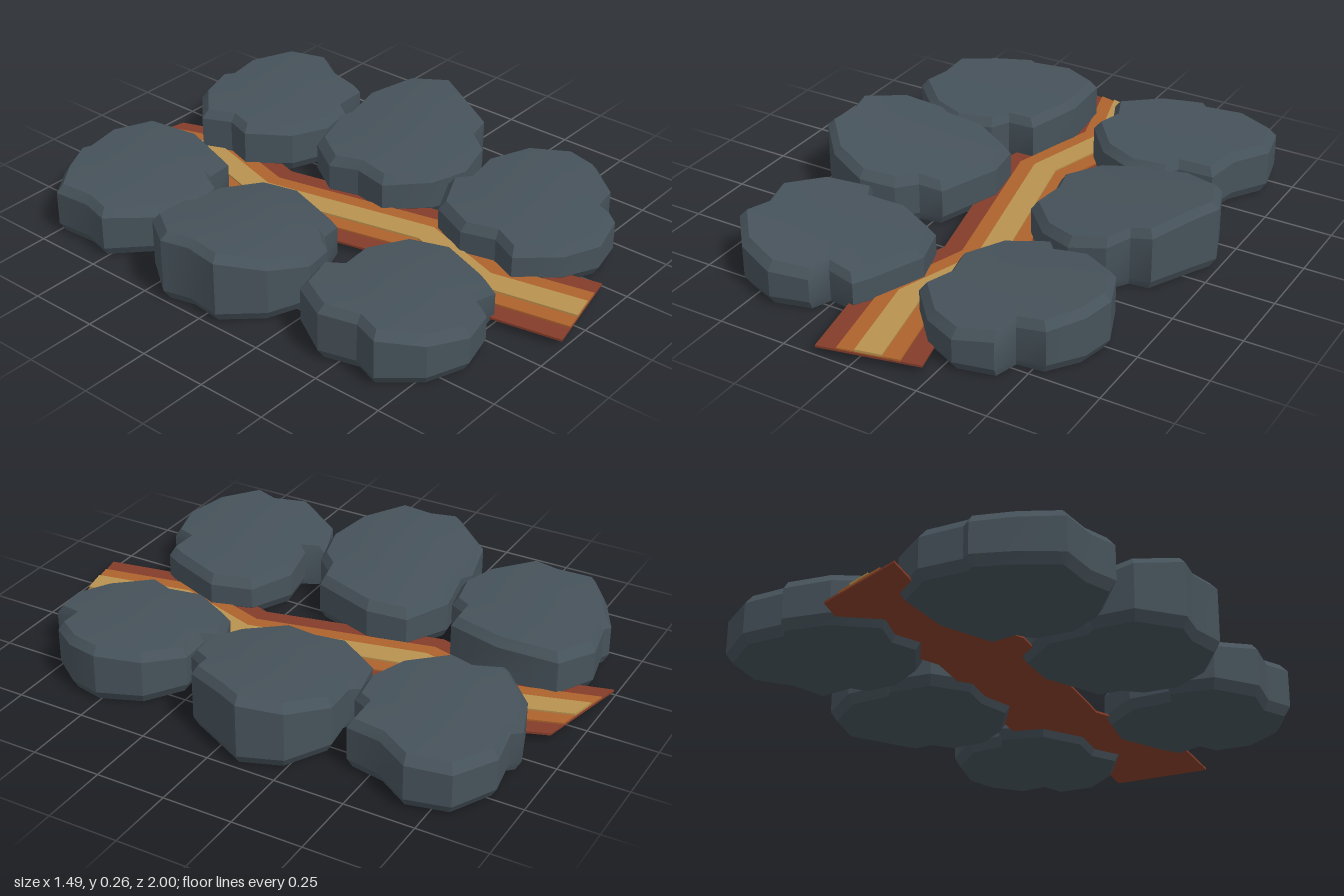
import * as THREE from 'three';
import { toCreasedNormals } from 'three/addons/utils/BufferGeometryUtils.js';

const stoneMat = new THREE.MeshStandardMaterial({ color: 0x46525a });

// Slab: stacked rings of one outline, chamfered at top and bottom, with a tilted, domed top.
// outline: x, z pairs clockwise from above; height: top height at mid-slab; tilt: rise per unit away from the path.
function stone(name, outline, height, tilt, dome) {
  const n = outline.length;
  const xs = outline.map(p => p[0]), zs = outline.map(p => p[1]);
  const cx = (Math.min(...xs) + Math.max(...xs)) / 2;
  const cz = (Math.min(...zs) + Math.max(...zs)) / 2;
  const topY = (x, z) => height + tilt * (Math.abs(x) - Math.abs(cx)) - dome * ((z - cz) / 0.28) ** 2;
  const rings = [
    [0.93, () => 0],
    [1, () => 0.035],
    [1, (x, z) => topY(x, z) - 0.03],
    [0.92, topY],
    [0.5, topY],
  ];
  const pos = [], idx = [];
  for (const [s, y] of rings) {
    for (const [px, pz] of outline) {
      const x = cx + (px - cx) * s, z = cz + (pz - cz) * s;
      pos.push(x, y(x, z), z);
    }
  }
  const bottom = n * rings.length, top = bottom + 1;
  pos.push(cx, 0, cz, cx, topY(cx, cz), cz);
  for (let i = 0; i < n; i++) {
    const j = (i + 1) % n;
    for (let r = 0; r < rings.length - 1; r++) {
      const a = r * n, b = a + n;
      idx.push(a + j, a + i, b + i, a + j, b + i, b + j);
    }
    const last = n * (rings.length - 1);
    idx.push(bottom, i, j, top, last + j, last + i);
  }
  const geo = new THREE.BufferGeometry();
  geo.setAttribute('position', new THREE.Float32BufferAttribute(pos, 3));
  geo.setIndex(idx);
  const mesh = new THREE.Mesh(toCreasedNormals(geo, 0.42), stoneMat);
  mesh.name = name;
  return mesh;
}

// Centre line of the zigzag path, x and z at each bend
const bends = [[-0.055, -0.96], [0.03, -0.685], [-0.065, -0.355], [0.08, 0.29], [-0.025, 0.61], [0.045, 0.957]];

// Thin zigzag layer of the path with slanted ends
function pathLayer(name, half, y, color) {
  const side = s => bends.map(([x, z], i) => {
    const slant = i === 0 ? 0.23 : i === bends.length - 1 ? -0.22 : 0;
    return new THREE.Vector2(x + s * half, -(z + s * half * slant));
  });
  const shape = new THREE.Shape([...side(-1), ...side(1).reverse()]);
  const geo = new THREE.ExtrudeGeometry(shape, { depth: 0.008, bevelEnabled: false });
  geo.rotateX(-Math.PI / 2);
  const mesh = new THREE.Mesh(geo, new THREE.MeshStandardMaterial({ color }));
  mesh.position.y = y;
  mesh.name = name;
  return mesh;
}

export function createModel() {
  const model = new THREE.Group();
  model.name = 'steppingStones';

  // Stones on the model's right (-x), back to front
  model.add(stone('backRightStone', [
    [-0.68, -0.74], [-0.56, -0.83], [-0.43, -0.9], [-0.4, -0.885], [-0.25, -0.915], [-0.11, -0.84], [-0.09, -0.625],
    [-0.155, -0.42], [-0.255, -0.415], [-0.295, -0.355], [-0.435, -0.325], [-0.56, -0.37], [-0.695, -0.5], [-0.67, -0.6],
  ], 0.19, 0, 0.015));
  model.add(stone('middleRightStone', [
    [-0.745, -0.165], [-0.64, -0.31], [-0.49, -0.34], [-0.45, -0.315], [-0.305, -0.335], [-0.15, -0.25], [-0.125, -0.105],
    [-0.205, 0.13], [-0.29, 0.145], [-0.35, 0.21], [-0.475, 0.24], [-0.62, 0.185], [-0.735, 0.06], [-0.72, -0.065],
  ], 0.215, 0.16, 0.025));
  model.add(stone('frontRightStone', [
    [-0.67, 0.44], [-0.58, 0.29], [-0.425, 0.235], [-0.39, 0.3], [-0.245, 0.275], [-0.09, 0.35], [-0.045, 0.495], [-0.12, 0.69],
    [-0.155, 0.75], [-0.255, 0.735], [-0.285, 0.81], [-0.42, 0.845], [-0.565, 0.79], [-0.67, 0.665], [-0.635, 0.57],
  ], 0.175, 0.1, 0.018));

  // Stones on the model's left (+x), back to front
  model.add(stone('backLeftStone', [
    [0.03, -0.725], [0.16, -0.85], [0.315, -0.905], [0.345, -0.875], [0.49, -0.9], [0.645, -0.82], [0.68, -0.67], [0.6, -0.545],
    [0.575, -0.415], [0.445, -0.41], [0.415, -0.355], [0.29, -0.335], [0.155, -0.39], [0.045, -0.525], [0.075, -0.62],
  ], 0.19, 0, 0.015));
  model.add(stone('middleLeftStone', [
    [0.105, -0.17], [0.19, -0.3], [0.345, -0.34], [0.38, -0.315], [0.53, -0.335], [0.685, -0.25], [0.74, -0.105], [0.695, -0.02],
    [0.615, 0.14], [0.54, 0.15], [0.49, 0.225], [0.36, 0.25], [0.235, 0.195], [0.115, 0.065], [0.135, -0.06],
  ], 0.21, 0.15, 0.02));
  model.add(stone('frontLeftStone', [
    [0.065, 0.445], [0.14, 0.295], [0.29, 0.225], [0.33, 0.28], [0.46, 0.265], [0.595, 0.355], [0.655, 0.505], [0.63, 0.62],
    [0.55, 0.73], [0.45, 0.74], [0.425, 0.83], [0.29, 0.86], [0.165, 0.8], [0.05, 0.67], [0.095, 0.57],
  ], 0.178, 0.1, 0.018));

  // Glowing path between the stones, outer to inner layer
  model.add(pathLayer('pathOuter', 0.175, 0.025, 0x853c2a));
  model.add(pathLayer('pathMiddle', 0.105, 0.031, 0xac622c));
  model.add(pathLayer('pathCore', 0.045, 0.037, 0xb8924f));
  return model;
}
